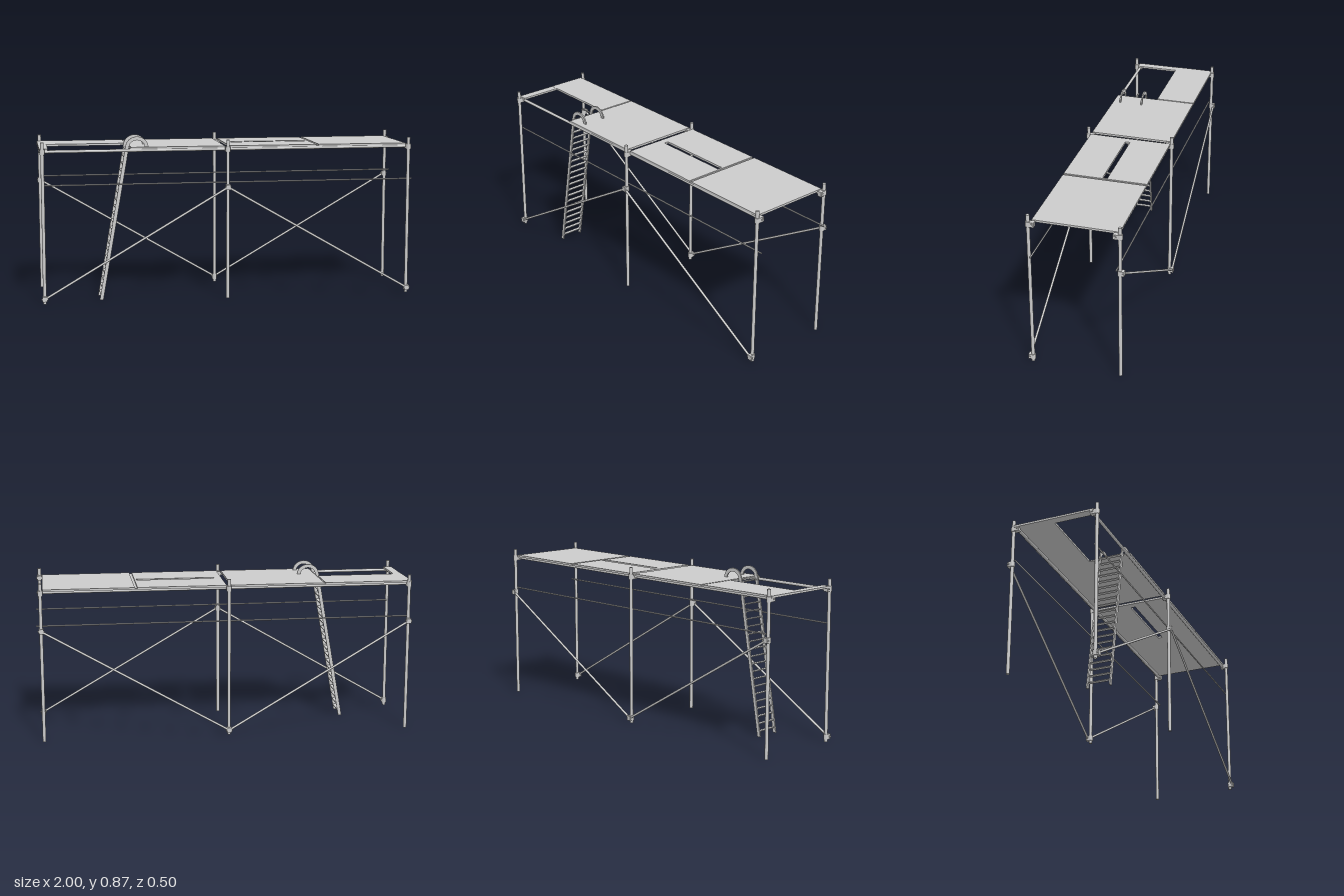
import * as THREE from 'three';

const grey = new THREE.MeshStandardMaterial({ color: 0xcccccc });
const POSTS = [-0.985, -0.012, 0.975];
const POST_Z = 0.23;
const LOW = 0.028, HIGH = 0.6;

export function createModel() {
  const root = new THREE.Group();
  root.name = 'scaffold';

  const add = (name, geometry, x = 0, y = 0, z = 0, parent = root) => {
    const mesh = new THREE.Mesh(geometry, grey);
    mesh.name = name;
    mesh.position.set(x, y, z);
    parent.add(mesh);
    return mesh;
  };

  // Straight tube between two points
  const tube = (name, a, b, r, sides = 12) => {
    const p = new THREE.Vector3(...a), q = new THREE.Vector3(...b);
    const d = q.clone().sub(p);
    const mesh = add(name, new THREE.CylinderGeometry(r, r, d.length(), sides));
    mesh.position.copy(p).add(q).multiplyScalar(0.5);
    mesh.quaternion.setFromUnitVectors(new THREE.Vector3(0, 1, 0), d.normalize());
    return mesh;
  };

  // Box given by its limits
  const slab = (name, x0, x1, y0, y1, z0, z1) =>
    add(name, new THREE.BoxGeometry(x1 - x0, y1 - y0, z1 - z0),
      (x0 + x1) / 2, (y0 + y1) / 2, (z0 + z1) / 2);

  // Collar around a post with a jaw reaching to z = jawZ and a bolt
  const clamp = (x, y, z, jawZ) => {
    const group = new THREE.Group();
    group.name = 'clamp';
    group.position.set(x, y, z);
    root.add(group);
    const reach = jawZ - z;
    add('collar', new THREE.CylinderGeometry(0.013, 0.013, 0.028, 12), 0, 0, 0, group);
    add('jaw', new THREE.BoxGeometry(0.024, 0.026, Math.abs(reach)), 0, 0, reach / 2, group);
    const bolt = add('bolt', new THREE.CylinderGeometry(0.005, 0.005, 0.034, 6),
      0, 0, reach * 0.7, group);
    bolt.rotation.z = Math.PI / 2;
  };

  for (const s of [1, -1]) {
    const z = s * POST_Z;
    // Front braces rise to the middle post, back braces fall to it
    const ends = s > 0 ? [LOW, HIGH, LOW] : [HIGH, LOW, HIGH];
    POSTS.forEach((x, i) => {
      tube('post', [x, 0, z], [x, 0.85, z], 0.009, 16);
      clamp(x, 0.8, z, s * 0.197);
      clamp(x, ends[i], z, s * 0.252);
      if (i < 2) {
        tube('brace', [x, ends[i], s * 0.244], [POSTS[i + 1], ends[i + 1], s * 0.244], 0.006);
      }
    });
    tube('ledger', [-0.99, 0.8, s * 0.207], [0.99, 0.8, s * 0.207], 0.008);
    tube('guardRail', [-0.98, 0.624, s * 0.217], [1, 0.624, s * 0.217], 0.004, 8);
  }

  // Deck boards
  const Y0 = 0.806, Y1 = 0.817, ZB = -0.225, ZF = 0.215;
  slab('deckBoard', -1, -0.531, Y0, Y1, ZB, -0.015);
  slab('deckBoard', -0.523, -0.026, Y0, Y1, ZB, ZF);
  slab('deckBoard', 0, 0.47, Y0, Y1, ZB, -0.015);
  slab('deckBoard', 0, 0.47, Y0, Y1, 0.011, ZF);
  slab('deckBoard', 0.484, 0.962, Y0, Y1, ZB, ZF);

  // Cross battens: beside the hatch, at the slot ends and under the seams
  slab('hatchBatten', -1, -0.955, Y0, Y1 - 0.001, -0.015, ZF);
  slab('slotBatten', 0, 0.04, Y0, Y1, -0.015, 0.011);
  slab('slotBatten', 0.46, 0.47, Y0, Y1, -0.015, 0.011);
  slab('seamStrip', -0.531, -0.523, Y0, Y1 - 0.004, ZB, ZF);
  slab('seamStrip', 0.47, 0.484, Y0, Y1 - 0.006, ZB, ZF);

  // Ladder stiles, each a flat bar bent into a hook at the top
  const foot = new THREE.Vector2(-0.684, 0), head = new THREE.Vector2(-0.541, 0.81);
  const spine = [foot, head];
  const cx = -0.488, cy = 0.814, rx = 0.051, ry = 0.046;
  for (let i = 1; i <= 12; i++) {
    const a = Math.PI * (1 - i / 12);
    spine.push(new THREE.Vector2(cx + rx * Math.cos(a), cy + ry * Math.sin(a)));
  }
  const half = 0.0095;
  const left = [], right = [];
  spine.forEach((p, i) => {
    const t = spine[Math.min(i + 1, spine.length - 1)].clone()
      .sub(spine[Math.max(i - 1, 0)]).normalize();
    if (i === 0) t.set(0, 1); // flat foot
    left.push(new THREE.Vector2(p.x - t.y * half, p.y + t.x * half));
    right.unshift(new THREE.Vector2(p.x + t.y * half, p.y - t.x * half));
  });
  const stile = new THREE.ExtrudeGeometry(new THREE.Shape([...left, ...right]),
    { depth: 0.007, bevelEnabled: false });
  for (const z of [0.0495, 0.1725]) add('ladderStile', stile, 0, 0, z);

  // Ladder treads
  const tread = new THREE.BoxGeometry(0.019, 0.004, 0.118);
  for (let i = 0; i < 21; i++) {
    const y = 0.03 + i * 0.0386;
    const x = foot.x + (head.x - foot.x) * y / head.y;
    add('ladderTread', tread, x, y, 0.1145);
  }
  return root;
}
